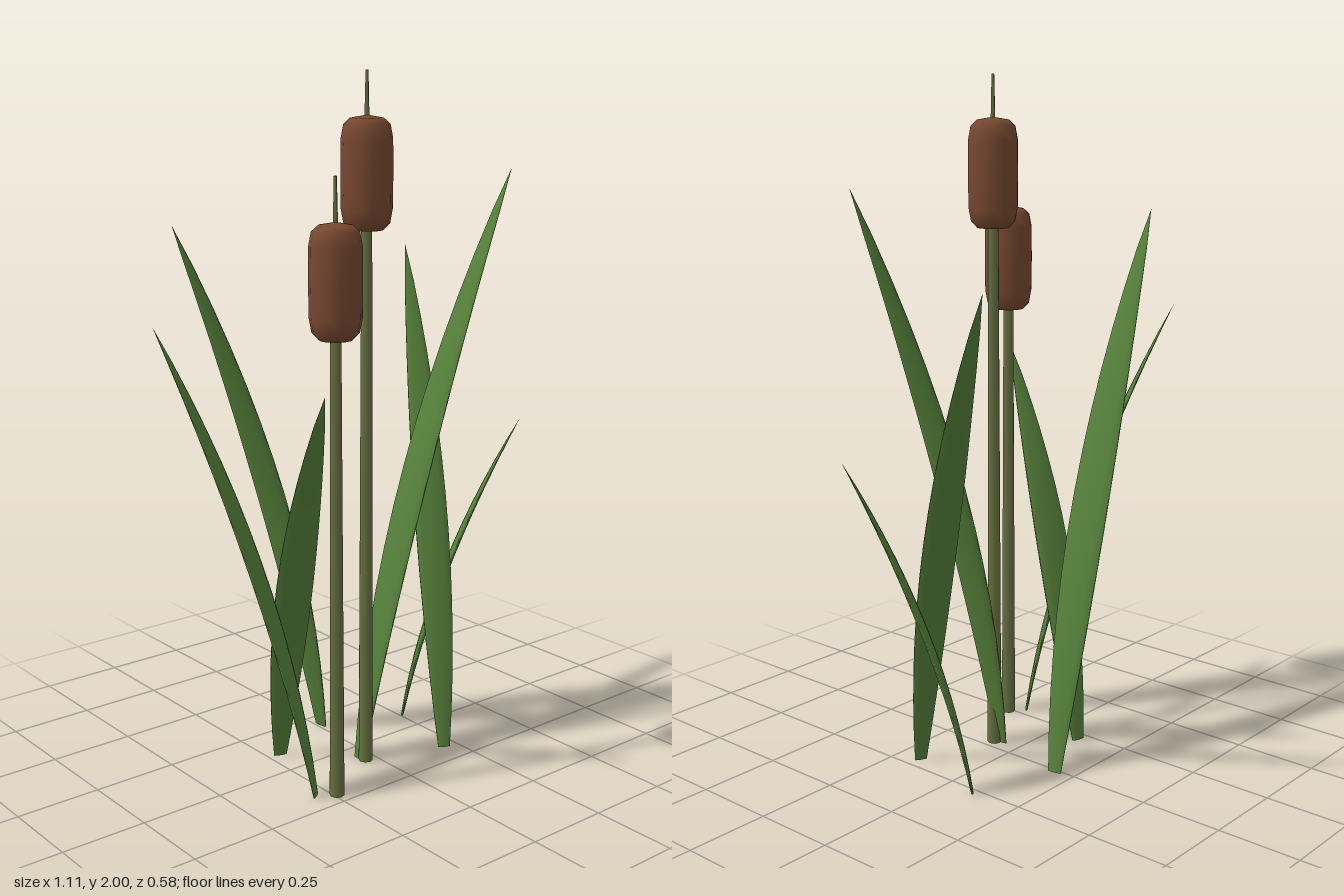
import * as THREE from 'three';

const leafGreen = new THREE.MeshStandardMaterial({ color: 0x55803a });
const stalkOlive = new THREE.MeshStandardMaterial({ color: 0x66703f });
const headBrown = new THREE.MeshStandardMaterial({ color: 0x774830 });
leafGreen.name = 'leaf green';
stalkOlive.name = 'stalk olive';
headBrown.name = 'seed head brown';

// Blade with a thin lens section, swept from a base point to a leaning tip
function leafGeometry([bx, bz], [tx, ty, tz], halfWidth) {
  const rows = 14, sides = 10, pos = [], index = [];
  const lean = new THREE.Vector3(tx - bx, 0, tz - bz);
  const out = lean.clone().normalize();
  const side = new THREE.Vector3(out.z, 0, -out.x);
  const point = (s, j) => {
    const a = (j / sides) * Math.PI * 2;
    const w = Math.max(Math.sin(Math.PI * (0.09 + 0.91 * s)), 0.0005) ** 0.8;
    const p = new THREE.Vector3(bx, s * ty, bz).addScaledVector(lean, 0.5 * s + 0.5 * s * s);
    p.addScaledVector(out, Math.cos(a) * w * 0.011);
    p.addScaledVector(side, Math.sin(a) * w * halfWidth);
    return p.toArray();
  };
  for (let i = 0; i <= rows; i++) {
    for (let j = 0; j < sides; j++) pos.push(...point(i / rows, j));
  }
  for (let i = 0; i < rows; i++) {
    for (let j = 0; j < sides; j++) {
      const k = (j + 1) % sides;
      const a = i * sides + j, b = i * sides + k;
      index.push(a, b, a + sides, b, b + sides, a + sides);
    }
  }
  // Flat cut at the foot
  const cap = pos.length / 3;
  for (let j = 0; j < sides; j++) pos.push(...point(0, j));
  for (let j = 1; j < sides - 1; j++) index.push(cap, cap + j + 1, cap + j);
  const g = new THREE.BufferGeometry();
  g.setAttribute('position', new THREE.Float32BufferAttribute(pos, 3));
  g.setIndex(index);
  g.computeVertexNormals();
  return g;
}

function addMesh(group, name, geometry, material, y = 0) {
  const mesh = new THREE.Mesh(geometry, material);
  mesh.name = name;
  mesh.position.y = y;
  group.add(mesh);
}

// Stalk, plump seed head and thin spike
function reed(name, x, z, headBase, spikeTop) {
  const group = new THREE.Group();
  group.name = name;
  group.position.set(x, 0, z);
  const stalkHeight = headBase + 0.02;
  addMesh(group, 'stalk', new THREE.CylinderGeometry(0.015, 0.021, stalkHeight, 8), stalkOlive, stalkHeight / 2);

  const profile = [[0, 0], [0.046, 0.003], [0.064, 0.022], [0.071, 0.06], [0.072, 0.155],
    [0.071, 0.25], [0.064, 0.287], [0.046, 0.304], [0, 0.312]];
  const head = new THREE.LatheGeometry(profile.map(p => new THREE.Vector2(...p)), 14);
  addMesh(group, 'seedHead', head, headBrown, headBase);

  const spikeBase = headBase + 0.3;
  const spikeHeight = spikeTop - spikeBase;
  addMesh(group, 'spike', new THREE.CylinderGeometry(0.004, 0.007, spikeHeight, 6), stalkOlive, spikeBase + spikeHeight / 2);
  return group;
}

export function createModel() {
  const model = new THREE.Group();
  model.name = 'reeds';
  model.add(reed('tallReed', -0.035, 0.087, 1.57, 2.0));
  model.add(reed('shortReed', -0.24, 0.206, 1.305, 1.735));

  // Leaves: base x z, tip x y z, half width
  const leaves = [
    [[-0.045, 0.068], [0.55, 1.715, 0.058], 0.057],
    [[0.012, -0.188], [-0.545, 1.605, -0.1], 0.061],
    [[-0.29, 0.172], [-0.563, 1.325, -0.18], 0.056],
    [[-0.212, -0.1], [-0.342, 1.18, 0.288], 0.057],
    [[0.205, 0.17], [0.437, 1.465, -0.29], 0.053],
    [[0.265, -0.09], [0.508, 0.975, 0.158], 0.05],
  ];
  leaves.forEach(([base, tip, width], i) => {
    addMesh(model, `leaf${i + 1}`, leafGeometry(base, tip, width), leafGreen);
  });
  return model;
}
